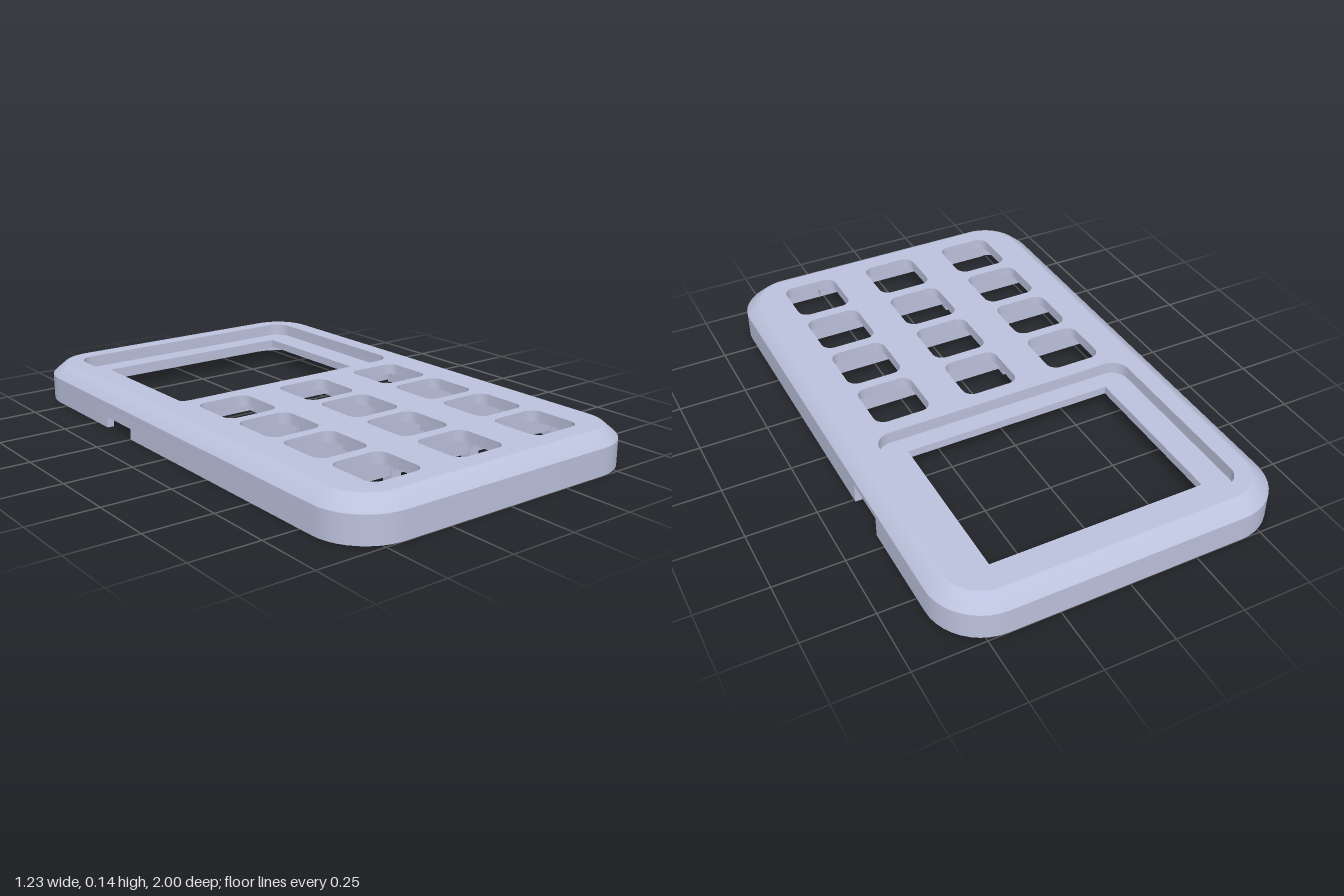
import * as THREE from 'three';
import { toCreasedNormals } from 'three/addons/utils/BufferGeometryUtils.js';

const W = 0.617, L = 1.0, R = 0.19, WALL = 0.035, LIP = 0.026;

// Quarter arc as points, from angle a (in quarter turns)
function corner(cx, cz, r, a, n = 10) {
  return Array.from({ length: n + 1 }, (_, i) => {
    const t = (a + i / n) * Math.PI / 2;
    return new THREE.Vector2(cx + r * Math.cos(t), cz + r * Math.sin(t));
  });
}

// Rounded rectangle in x and z, with half sizes w and l
function roundRect(cx, cz, w, l, r, n = 10) {
  const a = w - r, b = l - r;
  return [
    ...corner(cx + a, cz + b, r, 0, n), ...corner(cx - a, cz + b, r, 1, n),
    ...corner(cx - a, cz - b, r, 2, n), ...corner(cx + a, cz - b, r, 3, n),
  ];
}
const outline = (inset) => roundRect(0, 0, W - inset, L - inset, R - inset);

// Flat slab cut from an outline with holes, hanging down from yTop
function slab(points, holes, yTop, depth) {
  const shape = new THREE.Shape(points);
  holes.forEach((h) => shape.holes.push(new THREE.Path(h)));
  const g = new THREE.ExtrudeGeometry(shape, { depth, bevelEnabled: false });
  g.rotateX(Math.PI / 2).translate(0, yTop, 0);
  return toCreasedNormals(g, 0.5);
}

// Closed band swept round the case; the profile is a list of [inset, y]
function band(profile) {
  const rings = profile.map(([inset, y]) => outline(inset).map((p) => [p.x, y, p.y]));
  const n = rings[0].length, m = rings.length, index = [];
  for (let j = 0; j < m; j++) {
    for (let i = 0; i < n; i++) {
      const a = j * n + i, b = j * n + (i + 1) % n;
      const c = ((j + 1) % m) * n + i, d = ((j + 1) % m) * n + (i + 1) % n;
      index.push(a, b, c, b, d, c);
    }
  }
  const g = new THREE.BufferGeometry();
  g.setAttribute('position', new THREE.Float32BufferAttribute(rings.flat(2), 3));
  g.setIndex(index);
  return toCreasedNormals(g, 0.4);
}

// Front and back runs of the side wall, ending at the side notches
const V = (x, z) => new THREE.Vector2(x, z);
function frontRun(inset) {
  const p = outline(inset), h = p.length / 2;
  return [V(W - inset, -0.26), ...p.slice(0, h), V(-W + inset, -0.25)];
}
function backRun(inset) {
  const p = outline(inset), h = p.length / 2;
  return [V(-W + inset, -0.42), ...p.slice(h), V(W - inset, -0.44)];
}
const strip = (run, thickness) => [...run(0), ...run(thickness).reverse()];

export function createModel() {
  const group = new THREE.Group();
  const casing = new THREE.MeshStandardMaterial({ color: 0xbcc2dd });
  const add = (name, geometry) => {
    const mesh = new THREE.Mesh(geometry, casing);
    mesh.name = name;
    group.add(mesh);
    return mesh;
  };
  const box = (name, w, h, d, x, y, z) =>
    add(name, new THREE.BoxGeometry(w, h, d)).position.set(x, y, z);

  // Side walls: lowest level has both notches, next level only the taller one
  add('frontWall', slab(strip(frontRun, LIP), [], 0.04, 0.04));
  add('backWall', slab(strip(backRun, LIP), [], 0.04, 0.04));
  add('middleWall', slab(strip((i) => [...frontRun(i), ...backRun(i)], WALL), [], 0.075, 0.035));

  // Upper wall with the sloping shoulder
  add('shoulder', band([
    [0.058, 0.14], [0.046, 0.136], [0.003, 0.1], [0, 0.096],
    [0, 0.075], [WALL, 0.075], [WALL, 0.1], [0.058, 0.1],
  ]));

  // Top plate with the screen recess and twelve key holes
  const keyX = [-0.345, 0, 0.345], keyZ = [0.025, 0.272, 0.52, 0.77];
  const keys = keyX.flatMap((x) => keyZ.map((z) => roundRect(x, z, 0.104, 0.104, 0.038, 5)));
  const recess = roundRect(0, -0.51, 0.494, 0.372, 0.06, 6);
  add('topPlate', slab(outline(0.058), [recess, ...keys], 0.14, 0.04));

  // Sunken screen bezel
  const bezelOuter = roundRect(0, -0.51, 0.524, 0.402, 0.08, 6);
  const opening = [V(0.395, -0.208), V(-0.395, -0.208), V(-0.395, -0.805), V(0.395, -0.805)];
  add('recessWall', slab(bezelOuter, [recess], 0.105, 0.01));
  add('screenBezel', slab(bezelOuter, [opening], 0.095, 0.03));

  // Ribs between the keys on the underside
  for (const z of [0.148, 0.396, 0.645]) box('crossRib', 1.1, 0.06, 0.03, 0, 0.071, z);
  for (const x of [-0.172, 0.172]) {
    box('longRib', 0.025, 0.045, 0.8, x, 0.0785, 0.27);
    for (const z of [0.148, 0.645]) box('supportPost', 0.04, 0.09, 0.04, x, 0.056, z);
  }

  // Small clips inside the side and end walls, and a block at the front
  for (const s of [-1, 1]) {
    for (const z of [-0.7, -0.12, 0.15, 0.4, 0.645]) {
      box('sideClip', 0.035, 0.075, 0.04, s * 0.567, 0.0635, z);
    }
    for (const x of [-0.25, 0.25]) box('endClip', 0.05, 0.075, 0.03, x, 0.0635, s * 0.952);
  }
  box('frontBlock', 0.22, 0.07, 0.05, -0.36, 0.066, 0.93);
  return group;
}
